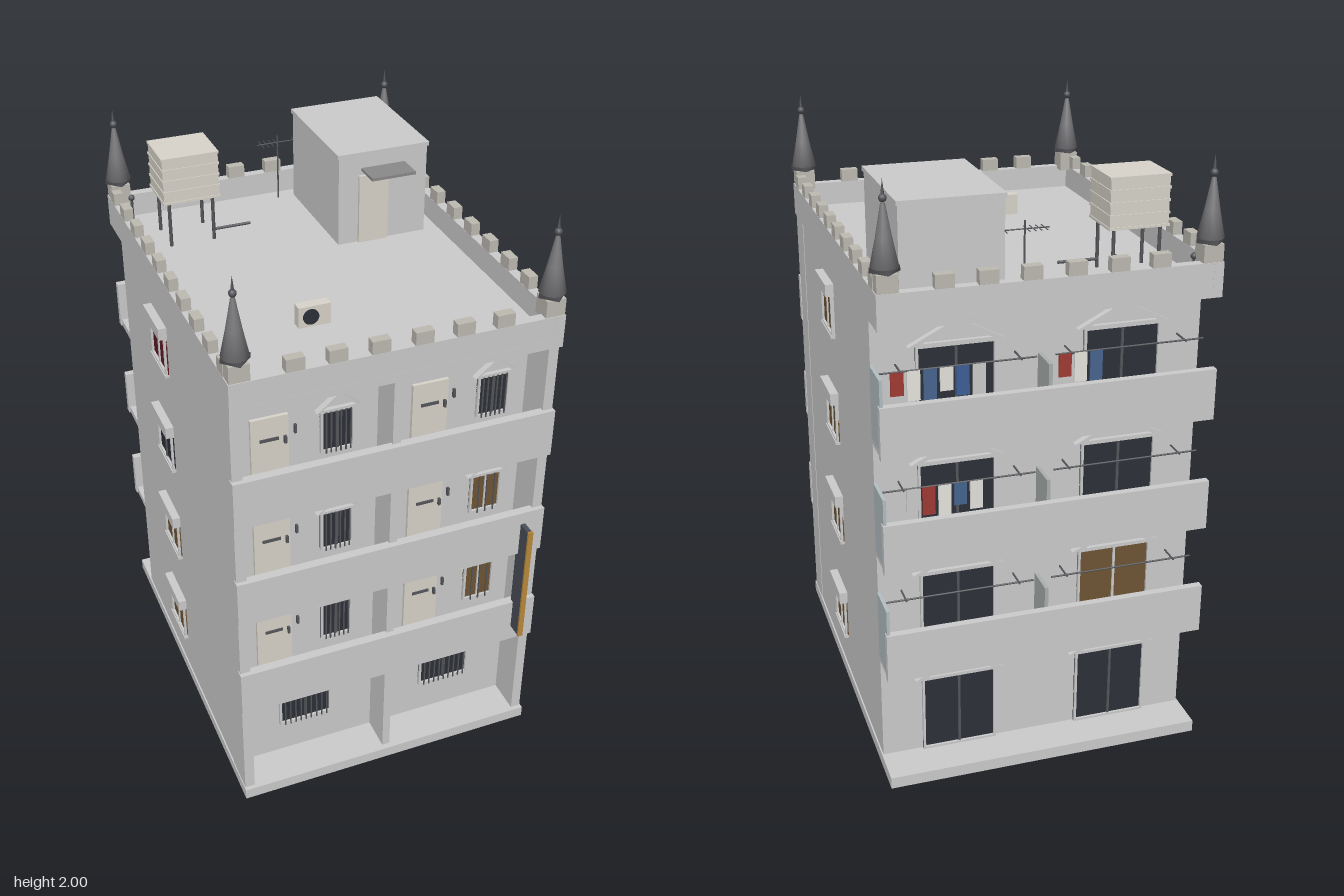
import * as THREE from 'three';

const GREY = 0xcccccc, STONE = 0xbdbab2, CREAM = 0xd8d4ca, DARK = 0x2c3038, BROWN = 0x6e5535, METAL = 0x55565a;
const mats = {};
const mat = (c) => (mats[c] ??= new THREE.MeshStandardMaterial({ color: c }));

function add(parent, name, geo, color = GREY) {
  const m = new THREE.Mesh(geo, mat(color));
  m.name = name;
  parent.add(m);
  return m;
}
// Box given by its limits on each axis
function box(parent, name, [x0, x1], [y0, y1], [z0, z1], color) {
  const m = add(parent, name, new THREE.BoxGeometry(x1 - x0, y1 - y0, z1 - z0), color);
  m.position.set((x0 + x1) / 2, (y0 + y1) / 2, (z0 + z1) / 2);
  return m;
}
// Thin round bar between two points
function rod(parent, name, a, b, r, color = METAL) {
  const p = new THREE.Vector3(...a), d = new THREE.Vector3(...b).sub(p);
  const m = add(parent, name, new THREE.CylinderGeometry(r, r, d.length(), 8), color);
  m.position.copy(p).addScaledVector(d, 0.5);
  m.quaternion.setFromUnitVectors(new THREE.Vector3(0, 1, 0), d.normalize());
  return m;
}
function place(parent, name, x, y, z, turn = 0) {
  const g = new THREE.Group();
  g.name = name;
  g.position.set(x, y, z);
  g.rotation.y = turn;
  parent.add(g);
  return g;
}

// Framed pane facing +z, origin at bottom centre
function pane(g, w, h, color, bars = 0) {
  const f = 0.008, d = 0.012;
  box(g, 'glass', [-w / 2, w / 2], [0, h], [-0.005, 0.004], color);
  for (const s of [-1, 1]) {
    const x = s * (w / 2 - f / 2);
    box(g, 'frameSide', [x - f / 2, x + f / 2], [0, h], [0, d]);
  }
  box(g, 'frameBottom', [-w / 2, w / 2], [0, f], [0, d]);
  box(g, 'frameTop', [-w / 2, w / 2], [h - f, h], [0, d]);
  box(g, 'mullion', [-0.004, 0.004], [0, h], [0, 0.009], color === DARK ? METAL : GREY);
  for (let i = 1; i <= bars; i++) {
    const x = -w / 2 + (w * i) / (bars + 1);
    box(g, 'bar', [x - 0.002, x + 0.002], [0, h], [0.014, 0.018], METAL);
  }
}
// Gable hood: thin back panel with a raised rim
function gable(g, y, half, h) {
  const tri = (s, k) => [[-half * k, s], [half * k, s], [0, s + h * k]].map((p) => new THREE.Vector2(...p));
  const panel = new THREE.ExtrudeGeometry(new THREE.Shape(tri(0, 1)), { depth: 0.008, bevelEnabled: false });
  add(g, 'gablePanel', panel).position.y = y;
  const rim = new THREE.Shape(tri(0, 1));
  rim.holes.push(new THREE.Path(tri(0.008, 0.72).reverse()));
  add(g, 'gableRim', new THREE.ExtrudeGeometry(rim, { depth: 0.022, bevelEnabled: false })).position.y = y;
}

function buildSpire(root, x, z) {
  const g = place(root, 'spire', x, 0, z);
  box(g, 'pedestal', [-0.032, 0.032], [1.67, 1.735], [-0.032, 0.032], STONE);
  add(g, 'diamondPlate', new THREE.CylinderGeometry(0.045, 0.045, 0.016, 4), METAL).position.y = 1.743;
  const profile = [[0, 1.75], [0.042, 1.75], [0.024, 1.835], [0.007, 1.93], [0, 1.93]];
  add(g, 'cone', new THREE.LatheGeometry(profile.map((p) => new THREE.Vector2(...p)), 16), 0x77777a);
  add(g, 'ball', new THREE.SphereGeometry(0.012, 12, 8), METAL).position.y = 1.945;
  add(g, 'tip', new THREE.ConeGeometry(0.006, 0.05, 8), METAL).position.y = 1.975;
}

function buildFront(root) {
  const Z = 0.5;
  for (const s of [-1, 1]) {
    const x = s * 0.51;
    box(root, 'galleryEndWall', [x - 0.017, x + 0.017], [0.04, 1.57], [Z, 0.62]);
    const win = place(root, 'groundWindow', s * 0.263, 0.17, Z);
    pane(win, 0.19, 0.15, DARK, 9);
    gable(win, 0.152, 0.11, 0.078);
  }
  box(root, 'galleryMiddleWall', [-0.015, 0.012], [0.04, 1.57], [Z, 0.615]);
  for (let i = 0; i < 3; i++) {
    const y = 0.405 + i * 0.382;
    box(root, 'galleryFloor', [-0.525, 0.525], [y, y + 0.025], [Z, 0.62]);
    box(root, 'galleryParapet', [-0.53, 0.53], [y, y + 0.168], [0.605, 0.635]);
    for (const b of [0, 1]) {
      const x = b * 0.526;
      const door = place(root, 'frontDoor', x - 0.37, y + 0.025, Z);
      box(door, 'doorLeaf', [-0.06, 0.06], [0, 0.262], [0, 0.012], CREAM);
      box(door, 'letterSlot', [-0.032, 0.028], [0.18, 0.19], [0.01, 0.016], METAL);
      box(door, 'doorHandle', [0.044, 0.052], [0.165, 0.19], [0.01, 0.022], METAL);
      box(door, 'doorbell', [0.08, 0.088], [0.185, 0.215], [0, 0.01], METAL);
      const win = place(root, 'galleryWindow', x - 0.15, y + 0.115, Z);
      const lit = b === 1 && i < 2;
      pane(win, 0.112, 0.152, lit ? BROWN : DARK, lit ? 3 : 6);
      gable(win, 0.154, 0.073, 0.06);
    }
  }
  // Projecting sign
  box(root, 'signPanel', [0.447, 0.463], [0.465, 0.91], [0.62, 0.685], 0x4a4e58);
  box(root, 'signEdge', [0.446, 0.464], [0.462, 0.913], [0.683, 0.69], 0xb98a3c);
}

function buildBack(root) {
  const Z = -0.55, cloths = [0xe4e2dc, 0x3d5f96, 0xd8d8d8, 0xa03a34, 0xe8e6e0, 0x46658f];
  for (let i = 0; i < 4; i++) {
    const y = i ? 0.405 + (i - 1) * 0.382 : 0.015;
    for (const s of [-1, 1]) {
      const door = place(root, 'balconyDoor', s * 0.265, y + 0.025, Z, Math.PI);
      pane(door, 0.25, 0.275, i === 1 && s < 0 ? BROWN : DARK);
      gable(door, 0.277, 0.15, 0.078);
    }
    if (!i) continue;
    box(root, 'balconyFloor', [-0.525, 0.525], [y, y + 0.025], [-0.67, Z]);
    box(root, 'balconyParapet', [-0.53, 0.53], [y, y + 0.168], [-0.68, -0.655]);
    box(root, 'glassScreen', [0.517, 0.527], [y + 0.02, y + 0.252], [-0.672, Z], 0xb4c0c4);
    box(root, 'balconyDivider', [-0.006, 0.006], [y + 0.025, y + 0.235], [-0.652, Z], 0xa9b0ad);
    // Drying poles on wall arms
    for (const s of [-1, 1]) {
      rod(root, 'dryingPole', [s * 0.03, y + 0.247, -0.61], [s * 0.512, y + 0.247, -0.61], 0.003);
      for (const x of [0.08, 0.45]) rod(root, 'poleArm', [s * x, y + 0.247, Z], [s * x, y + 0.247, -0.62], 0.003);
    }
    const spots = i === 3 ? [0.46, 0.41, 0.36, 0.31, 0.26, 0.21, -0.06, -0.11, -0.16] : i === 2 ? [0.42, 0.37, 0.32, 0.27, 0.22] : [];
    spots.forEach((x, k) => {
      const drop = 0.075 + 0.02 * (k % 3);
      box(root, 'laundry', [x - 0.02, x + 0.02], [y + 0.247 - drop, y + 0.247], [-0.613, -0.607], cloths[(k + i) % 6]);
    });
  }
}

function buildSides(root) {
  for (const s of [-1, 1])
    for (let i = 0; i < 4; i++) {
      const g = place(root, 'sideWindow', s * 0.525, 0.18 + i * 0.382, s > 0 ? 0.06 : -0.105, s * Math.PI / 2);
      pane(g, 0.165, 0.137, s > 0 || i < 2 ? BROWN : i === 2 ? DARK : 0x5e1a24);
      box(g, 'sill', [-0.085, 0.085], [-0.008, 0.002], [0, 0.016]);
      box(g, 'shutterHood', [-0.088, 0.088], [0.139, 0.18], [0, 0.028]);
    }
}

function buildRoof(root) {
  box(root, 'roofSlab', [-0.53, 0.53], [1.57, 1.6], [-0.682, 0.635]);
  for (const s of [-1, 1]) {
    const x = s * 0.514, z = -0.0235 + s * 0.642;
    box(root, 'roofParapetSide', [x - 0.016, x + 0.016], [1.6, 1.68], [-0.682, 0.635]);
    box(root, 'roofParapetEnd', [-0.5, 0.5], [1.6, 1.68], [z - 0.016, z + 0.016]);
    // Battlements
    for (const m of [-0.33, -0.2, -0.068, 0.068, 0.2, 0.33])
      box(root, 'merlon', [m - 0.029, m + 0.029], [1.675, 1.722], [z - 0.0155, z + 0.0155], STONE);
    for (let k = 0; k < 10; k++) {
      const m = 0.56 - k * 0.13;
      box(root, 'merlon', [x - 0.0155, x + 0.0155], [1.675, 1.722], [m - 0.027, m + 0.027], STONE);
    }
    buildSpire(root, s * 0.495, 0.6);
    buildSpire(root, s * 0.495, -0.648);
  }

  // Stair house
  const house = place(root, 'stairHouse', 0, 0, 0);
  box(house, 'stairWalls', [0.13, 0.445], [1.6, 1.91], [-0.605, -0.18]);
  box(house, 'stairLid', [0.125, 0.45], [1.908, 1.922], [-0.61, -0.175]);
  box(house, 'stairDoor', [0.2, 0.305], [1.6, 1.84], [-0.18, -0.17], CREAM);
  box(house, 'stairCanopy', [0.21, 0.365], [1.855, 1.865], [-0.18, -0.09], 0x8a8a8a);

  // Water tank with ribs on four legs
  const tank = place(root, 'waterTank', -0.318, 0, -0.445);
  box(tank, 'tankBody', [-0.095, 0.095], [1.76, 1.918], [-0.082, 0.082], CREAM);
  for (let k = 0; k < 5; k++)
    box(tank, 'tankRib', [-0.098, 0.098], [1.758 + k * 0.0385, 1.766 + k * 0.0385], [-0.085, 0.085], CREAM);
  for (const x of [-0.075, 0.075])
    for (const z of [-0.065, 0.065]) rod(tank, 'tankLeg', [x, 1.6, z], [x, 1.76, z], 0.006);
  rod(root, 'tankPipe', [-0.24, 1.63, -0.39], [-0.11, 1.63, -0.39], 0.005);
  rod(root, 'tankRiser', [-0.24, 1.63, -0.39], [-0.24, 1.76, -0.39], 0.005);

  // Vent posts
  for (const [x, z] of [[-0.462, -0.615], [-0.227, -0.563], [0.46, -0.618]]) {
    rod(root, 'ventPost', [x, 1.6, z], [x, 1.68, z], 0.005);
    add(root, 'ventCap', new THREE.SphereGeometry(0.011, 12, 8), METAL).position.set(x, 1.685, z);
  }

  // Antenna
  rod(root, 'antennaMast', [0.07, 1.6, -0.602], [0.07, 1.835, -0.602], 0.003);
  rod(root, 'antennaBoom', [-0.005, 1.81, -0.602], [0.135, 1.81, -0.602], 0.002);
  for (const x of [0.01, 0.028, 0.046, 0.064, 0.132]) rod(root, 'antennaElement', [x, 1.81, -0.632], [x, 1.81, -0.572], 0.0015);

  // Air conditioner
  box(root, 'airConditioner', [-0.195, -0.09], [1.605, 1.675], [0.265, 0.3], CREAM);
  const fan = add(root, 'airConditionerFan', new THREE.CylinderGeometry(0.026, 0.026, 0.006, 20), DARK);
  fan.rotation.x = Math.PI / 2;
  fan.position.set(-0.155, 1.64, 0.301);
}

export function createModel() {
  const root = new THREE.Group();
  root.name = 'apartmentBuilding';
  box(root, 'groundSlab', [-0.53, 0.53], [0, 0.04], [-0.68, 0.635]);
  box(root, 'mainBody', [-0.525, 0.525], [0.04, 1.57], [-0.55, 0.5]);
  buildFront(root);
  buildBack(root);
  buildSides(root);
  buildRoof(root);
  return root;
}
